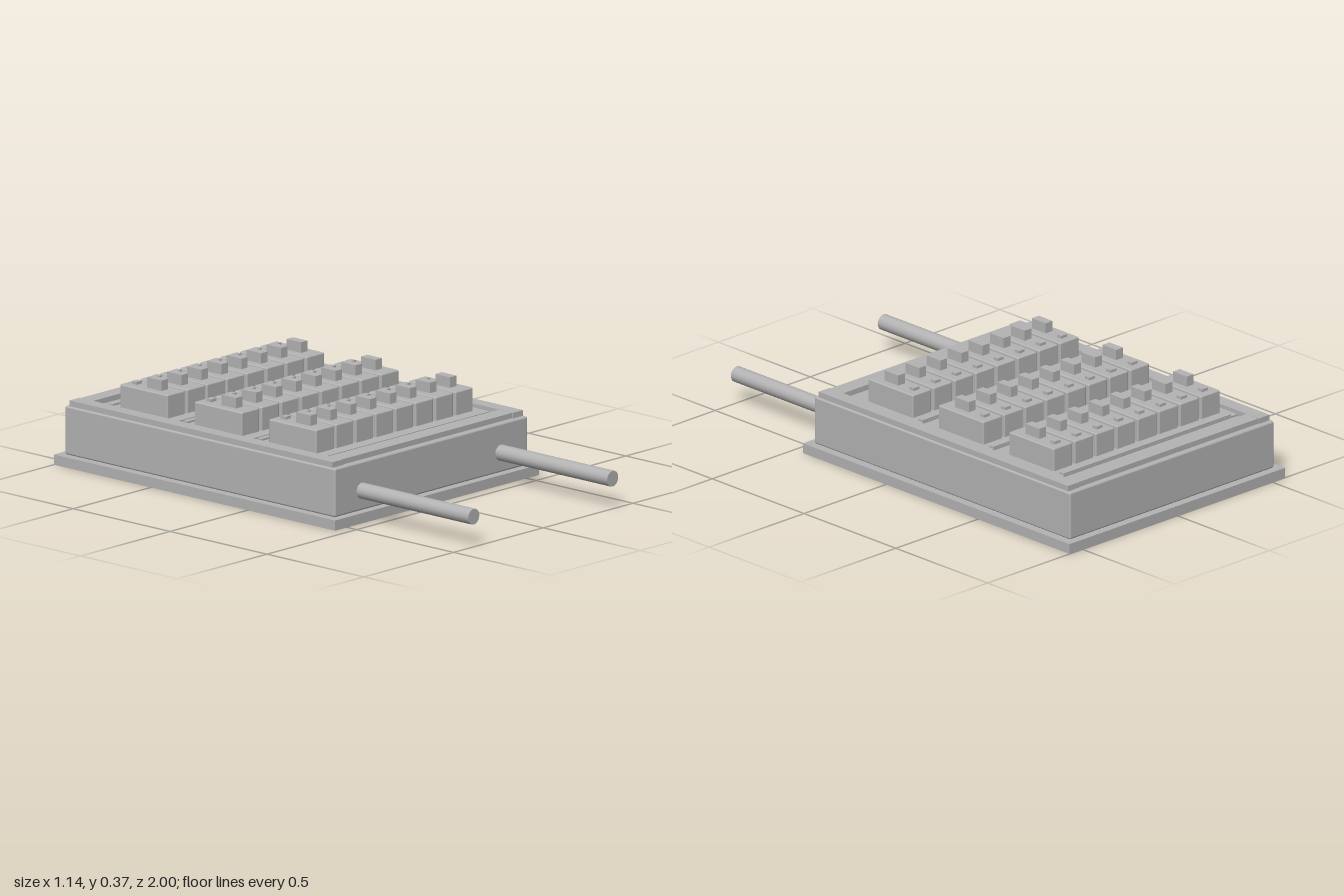
import * as THREE from 'three';
import { RoundedBoxGeometry } from 'three/addons/geometries/RoundedBoxGeometry.js';

export function createModel() {
  const model = new THREE.Group();
  model.name = 'breakerPanel';
  const grey = new THREE.MeshStandardMaterial({ color: 0xb3b3b3 });
  grey.name = 'panel grey';

  const add = (name, geometry, x, y, z, parent = model) => {
    const mesh = new THREE.Mesh(geometry, grey);
    mesh.name = name;
    mesh.position.set(x, y, z);
    parent.add(mesh);
    return mesh;
  };
  // Box given by its extents along each axis
  const block = (name, [x0, x1], [y0, y1], [z0, z1], parent = model, bevel = 0) => {
    const size = [x1 - x0, y1 - y0, z1 - z0];
    const geometry = bevel
      ? new RoundedBoxGeometry(...size, 2, bevel)
      : new THREE.BoxGeometry(...size);
    return add(name, geometry, (x0 + x1) / 2, (y0 + y1) / 2, (z0 + z1) / 2, parent);
  };

  // Back plate and enclosure
  block('backPlate', [-0.568, 0.568], [0, 0.04], [-1, 0.452]);
  block('enclosure', [-0.538, 0.538], [0.04, 0.231], [-0.971, 0.423], model, 0.008);

  // Raised cover frame
  const frame = new THREE.Group();
  frame.name = 'coverFrame';
  model.add(frame);
  block('frameRight', [-0.531, -0.474], [0.228, 0.253], [-0.953, 0.405], frame);
  block('frameLeft', [0.474, 0.531], [0.228, 0.253], [-0.953, 0.405], frame);
  block('frameBack', [-0.474, 0.474], [0.228, 0.252], [-0.95, -0.885], frame);
  block('frameFront', [-0.474, 0.474], [0.228, 0.252], [0.33, 0.4], frame);

  // Three rows of eight breakers, each on a tray with a bus strip behind
  for (let r = 0; r < 3; r++) {
    const row = new THREE.Group();
    row.name = `breakerRow${r + 1}`;
    row.position.z = -0.657 + r * 0.384;
    model.add(row);
    block('rowTray', [-0.474, 0.474], [0.228, 0.238], [-0.18, 0.176], row);
    block('busStrip', [-0.44, 0.44], [0.236, 0.246], [-0.179, -0.157], row);

    for (let i = 0; i < 8; i++) {
      const x = (i - 3.5) * 0.111;
      block('breakerBody', [x - 0.0495, x + 0.0495], [0.232, 0.33], [-0.123, 0.123], row, 0.006);
      block('toggle', [x - 0.018, x + 0.018], [0.325, 0.371], [-0.011, 0.064], row);
      block('indicator', [x - 0.015, x + 0.015], [0.325, 0.341], [-0.092, -0.068], row);
    }
  }

  // Conduits leaving through the front end
  for (const side of [-1, 1]) {
    const conduit = new THREE.CylinderGeometry(0.031, 0.031, 0.6, 16);
    conduit.rotateX(Math.PI / 2);
    add(side > 0 ? 'conduitLeft' : 'conduitRight', conduit, side * 0.387, 0.118, 0.7);
  }
  return model;
}
